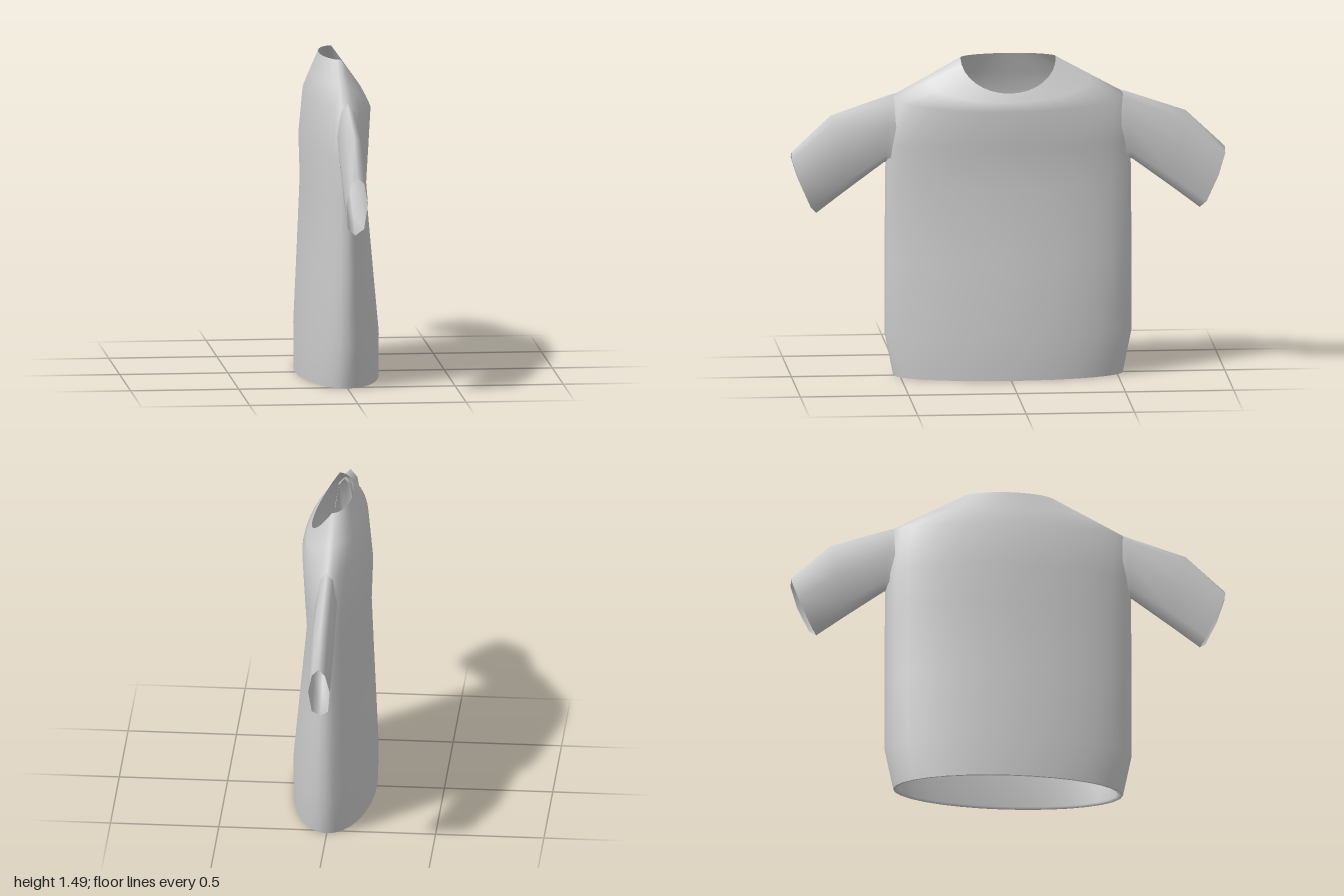
import * as THREE from 'three';

const material = new THREE.MeshStandardMaterial({ color: 0xcccccc, side: THREE.DoubleSide });

// Skin a list of closed rings (arrays of [x, y, z]) with smooth normals
function loft(name, rings) {
  const n = rings[0].length;
  const index = [];
  for (let i = 0; i < rings.length - 1; i++) {
    for (let j = 0; j < n; j++) {
      const k = (j + 1) % n;
      const a = i * n + j, b = i * n + k, c = a + n, d = b + n;
      index.push(a, c, b, b, c, d);
    }
  }
  const geometry = new THREE.BufferGeometry();
  geometry.setAttribute('position', new THREE.Float32BufferAttribute(rings.flat(2), 3));
  geometry.setIndex(index);
  geometry.computeVertexNormals();
  const mesh = new THREE.Mesh(geometry, material);
  mesh.name = name;
  return mesh;
}

// Oval ring with its own depth and height at the chest (+x), back (-x) and sides
function torsoRing({ chest, back, side, y, yChest = y, yBack = y }) {
  return Array.from({ length: 32 }, (_, j) => {
    const t = (j / 32) * Math.PI * 2;
    const c = Math.cos(t);
    const depth = c > 0 ? chest : back;
    const height = y + ((c > 0 ? yChest : yBack) - y) * Math.abs(c);
    return [c * depth, height, Math.sin(t) * side];
  });
}

// Flat eight-sided sleeve section between a top and a bottom point [z, y]
function sleeveRing({ top, bottom, width, bulge = 0 }) {
  const half = [[0, 0], [0.1, 0.6], [0.45, 1], [0.88, 0.75], [1, 0]];
  const outline = [...half, ...half.slice(1, 4).reverse().map(([u, w]) => [u, -w])];
  return outline.map(([u, w]) => [
    w * width,
    top[1] + (bottom[1] - top[1]) * u,
    top[0] + (bottom[0] - top[0]) * u + bulge * Math.abs(w),
  ]);
}

export function createModel() {
  const shirt = new THREE.Group();
  shirt.name = 'shirt';

  // Torso from hem to sloping neckline
  shirt.add(loft('torso', [
    { chest: 0.19, back: 0.19, side: 0.53, y: 0 },
    { chest: 0.19, back: 0.19, side: 0.57, y: 0.2 },
    { chest: 0.157, back: 0.173, side: 0.57, y: 0.55 },
    { chest: 0.125, back: 0.158, side: 0.568, y: 0.88 },
    { chest: 0.138, back: 0.165, side: 0.565, y: 1.08 },
    { chest: 0.15, back: 0.145, side: 0.535, y: 1.31, yChest: 1.25, yBack: 1.29 },
    { chest: 0.132, back: 0.113, side: 0.38, y: 1.395, yChest: 1.29, yBack: 1.39 },
    { chest: 0.11, back: 0.08, side: 0.22, y: 1.482, yChest: 1.33, yBack: 1.485 },
  ].map(torsoRing)));

  // Hem folded to the inside
  shirt.add(loft('hem', [
    { chest: 0.175, back: 0.175, side: 0.54, y: 0.2 },
    { chest: 0.17, back: 0.17, side: 0.505, y: 0.005 },
    { chest: 0.19, back: 0.19, side: 0.53, y: 0 },
  ].map(torsoRing)));

  // Short sleeves, the second turned half way round
  const sleeveRings = [
    { top: [0.48, 1.33], bottom: [0.5, 0.96], width: 0.045 },
    { top: [0.54, 1.315], bottom: [0.57, 1.0], width: 0.05 },
    { top: [0.82, 1.22], bottom: [0.76, 0.86], width: 0.054 },
    { top: [1.0, 1.05], bottom: [0.885, 0.765], width: 0.05, bulge: 0.02 },
  ].map(sleeveRing);
  for (const [name, turn] of [['sleeveFront', 0], ['sleeveBack', Math.PI]]) {
    const sleeve = loft(name, sleeveRings);
    sleeve.rotation.y = turn;
    shirt.add(sleeve);
  }
  return shirt;
}
